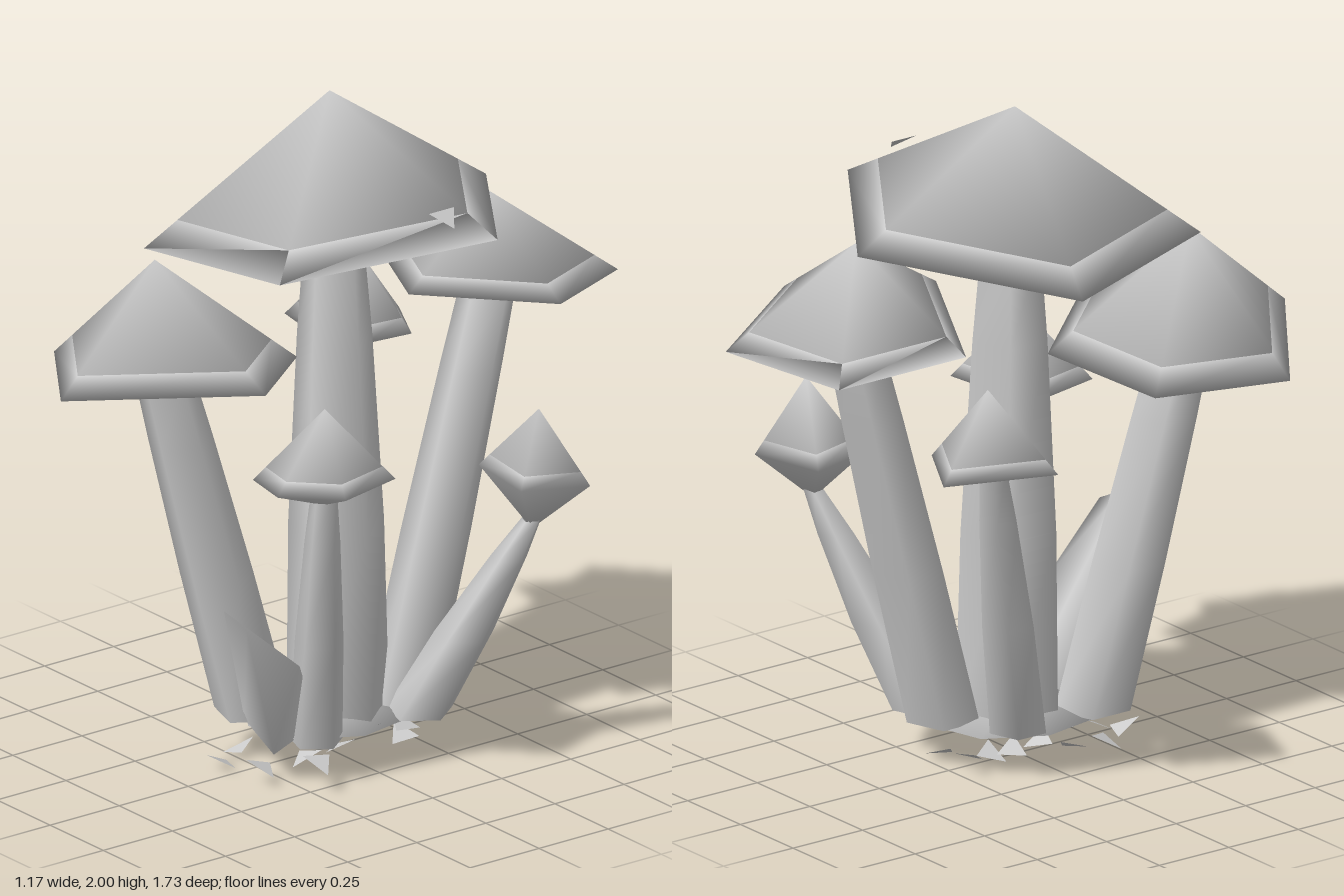
import * as THREE from 'three';

const vec = (x, y, z) => new THREE.Vector3(x, y, z);

// Point on a level circle; degrees run clockwise from the back, seen from above
function around(c, radius, degrees) {
  const t = THREE.MathUtils.degToRad(degrees);
  return vec(c.x + radius * Math.sin(t), c.y, c.z - radius * Math.cos(t));
}

const ring = (c, radius, sides, start) =>
  Array.from({ length: sides }, (_, i) => around(c, radius, start + (i * 360) / sides));

function surface(points, index) {
  const g = new THREE.BufferGeometry().setFromPoints(points);
  g.setIndex(index);
  g.computeVertexNormals();
  return g;
}

// Outward quads between an upper and a lower ring
function band(n, upper, lower) {
  const out = [];
  for (let i = 0; i < n; i++) {
    const j = (i + 1) % n;
    out.push(upper + i, upper + j, lower + j, upper + i, lower + j, lower + i);
  }
  return out;
}

// Triangles from a centre point to a ring, facing up or down
function fan(n, centre, start, faceUp) {
  const out = [];
  for (let i = 0; i < n; i++) {
    const a = start + i, b = start + ((i + 1) % n);
    out.push(centre, ...(faceUp ? [b, a] : [a, b]));
  }
  return out;
}

// Closed smooth double cone
const doubleCone = (top, edge, bottom) =>
  surface([top, bottom, ...edge], [...fan(edge.length, 0, 2, true), ...fan(edge.length, 1, 2, false)]);

// Five-sided stalk that thins towards its head
function stalk(foot, head, footRadius, headRadius) {
  const sides = 5, points = [], index = [];
  [0, 0.4, 0.8, 1].forEach((t, k) => {
    const radius = THREE.MathUtils.lerp(footRadius, headRadius, t * t);
    points.push(...ring(foot.clone().lerp(head, t), radius, sides, 18));
    if (k) index.push(...band(sides, k * sides, (k - 1) * sides));
  });
  return surface(points, index);
}

export function createModel() {
  const model = new THREE.Group();
  const grey = new THREE.MeshStandardMaterial({ color: 0xcccccc, side: THREE.DoubleSide });
  grey.name = 'mushroomGrey';

  const add = (parent, name, geometry) => {
    const mesh = new THREE.Mesh(geometry, grey);
    mesh.name = name;
    parent.add(mesh);
  };

  // The rim is a polygon around the cap's underside, tilted by a slope in x and z
  function addMushroom(name, { apex, under, radius, angles, rimY, slopeX, slopeZ, foot, footRadius, headRadius }) {
    const group = new THREE.Group();
    group.name = name;
    const n = angles.length;
    const rim = angles.map((a) => {
      const p = around(under, radius, a);
      p.y = rimY + slopeX * (p.x - under.x) + slopeZ * (p.z - under.z);
      return p;
    });
    const shoulder = rim.map((p) => p.clone().lerp(apex, 0.18));
    add(group, 'capCrown', doubleCone(apex, shoulder, under));
    add(group, 'capBrim', surface([under, ...shoulder, ...rim], [...band(n, 1, 1 + n), ...fan(n, 0, 1 + n, false)]));
    add(group, 'stem', stalk(foot, under.clone().add(vec(0, 0.03, 0)), footRadius, headRadius));
    model.add(group);
  }

  addMushroom('tallMushroom', {
    apex: vec(-0.05, 2, -0.05), under: vec(0.01, 1.53, -0.02), radius: 0.55, angles: [0, 69, 144, 210, 285],
    rimY: 1.615, slopeX: 0.105, slopeZ: -0.04, foot: vec(0.03, 0.11, -0.02), footRadius: 0.155, headRadius: 0.09,
  });
  addMushroom('backMushroom', {
    apex: vec(0.11, 1.635, -0.5), under: vec(0.09, 1.31, -0.52), radius: 0.38, angles: [-46, 24, 95, 165, 250],
    rimY: 1.375, slopeX: 0.05, slopeZ: 0.11, foot: vec(0.08, 0.13, -0.21), footRadius: 0.11, headRadius: 0.085,
  });
  addMushroom('frontMushroom', {
    apex: vec(-0.19, 1.56, 0.475), under: vec(-0.17, 1.18, 0.46), radius: 0.405, angles: [19, 81, 174, 257, 318],
    rimY: 1.215, slopeX: 0.1, slopeZ: 0.04, foot: vec(-0.1, 0.13, 0.19), footRadius: 0.115, headRadius: 0.09,
  });
  addMushroom('leftSmallMushroom', {
    apex: vec(0.33, 1.21, 0.26), under: vec(0.34, 0.92, 0.27), radius: 0.205, angles: [35, 110, 168, 222, 300],
    rimY: 0.995, slopeX: 0.06, slopeZ: 0.03, foot: vec(0.16, 0.11, 0.16), footRadius: 0.08, headRadius: 0.04,
  });
  addMushroom('leftBackSmallMushroom', {
    apex: vec(0.48, 1.1, -0.4), under: vec(0.465, 0.73, -0.385), radius: 0.168, angles: [38, 138, 243, 302],
    rimY: 0.885, slopeX: 0, slopeZ: 0.18, foot: vec(0.19, 0.13, -0.19), footRadius: 0.1, headRadius: 0.03,
  });
  addMushroom('rightBackSmallMushroom', {
    apex: vec(-0.41, 1.32, -0.42), under: vec(-0.42, 1.06, -0.41), radius: 0.2, angles: [352, 66, 115, 150, 237],
    rimY: 1.085, slopeX: 0.03, slopeZ: 0.05, foot: vec(-0.13, 0.13, -0.1), footRadius: 0.085, headRadius: 0.04,
  });

  // Broken blade leaning out at the front
  const blade = [
    vec(-0.06, 0.13, 0.25), vec(0.13, 0.09, 0.29), vec(0.13, 0.15, 0.13),
    vec(0.22, 0.62, 0.54), vec(0.3, 0.58, 0.52), vec(0.25, 0.4, 0.29),
  ];
  add(model, 'brokenStem', surface(blade, [0, 1, 4, 0, 4, 3, 1, 2, 5, 1, 5, 4, 2, 0, 3, 2, 3, 5, 3, 4, 5]));

  // Closed ground clump tying the stems together
  const edge = ring(vec(0.02, 0.125, 0), 0.27, 8, 10).map((p) => vec(p.x * 0.85, p.y, p.z));
  add(model, 'base', doubleCone(vec(0.02, 0.17, 0), edge, vec(0.02, 0.09, 0)));

  // Loose shards scattered under the clump, each tipped a different way
  for (let i = 0; i < 16; i++) {
    const centre = around(vec(0, 0.025 + (i % 4) * 0.03, 0.04), 0.14 + (i % 5) * 0.04, i * 137.5);
    const corners = [0, 1, 2].map((k) => {
      const p = around(centre, 0.05, i * 50 + k * 120);
      p.y += 0.025 * Math.sin(i * 2 + k * 2.1);
      return p;
    });
    add(model, 'shard' + (i + 1), surface(corners, [0, 2, 1]));
  }

  // Flake beside the tallest cap
  add(model, 'capFlake', surface([vec(0.43, 1.77, -0.04), vec(0.43, 1.77, -0.13), vec(0.485, 1.73, -0.09)], [0, 2, 1]));
  return model;
}
